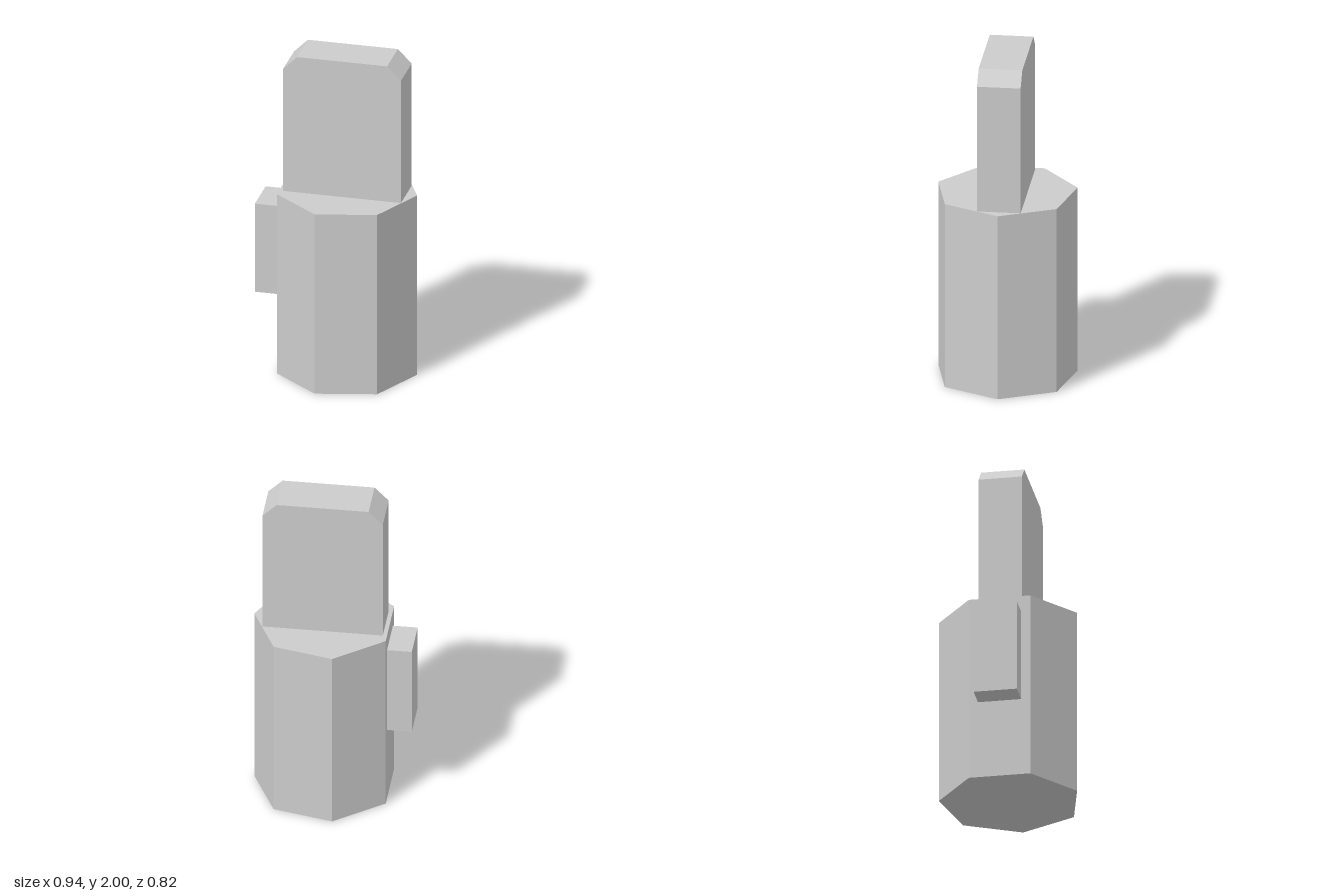
import * as THREE from 'three';

export function createModel() {
  const model = new THREE.Group();
  const material = new THREE.MeshStandardMaterial({ color: 0xcccccc, flatShading: true });
  const add = (name, geometry, x, y, z) => {
    const mesh = new THREE.Mesh(geometry, material);
    mesh.name = name;
    mesh.position.set(x, y, z);
    model.add(mesh);
  };

  const bodyHeight = 1.14;
  const depth = 0.255;

  // Seven-sided body with one corner pointing to +x
  add('body', new THREE.CylinderGeometry(0.418, 0.418, bodyHeight, 7, 1, false, Math.PI / 2),
    0.052, bodyHeight / 2, 0);

  // Upright slab with chamfered top corners
  const left = -0.3, right = 0.405, height = 2 - bodyHeight, chamfer = 0.083;
  const outline = new THREE.Shape([
    [left, 0], [right, 0], [right, height - chamfer], [right - chamfer, height],
    [left + chamfer, height], [left, height - chamfer],
  ].map(([x, y]) => new THREE.Vector2(x, y)));
  add('upperSlab', new THREE.ExtrudeGeometry(outline, { depth, bevelEnabled: false }),
    0, bodyHeight, -depth / 2);

  // Block on the flat side of the body
  add('sideBlock', new THREE.BoxGeometry(0.146, 0.56, depth), -0.397, 0.76, 0);

  return model;
}
